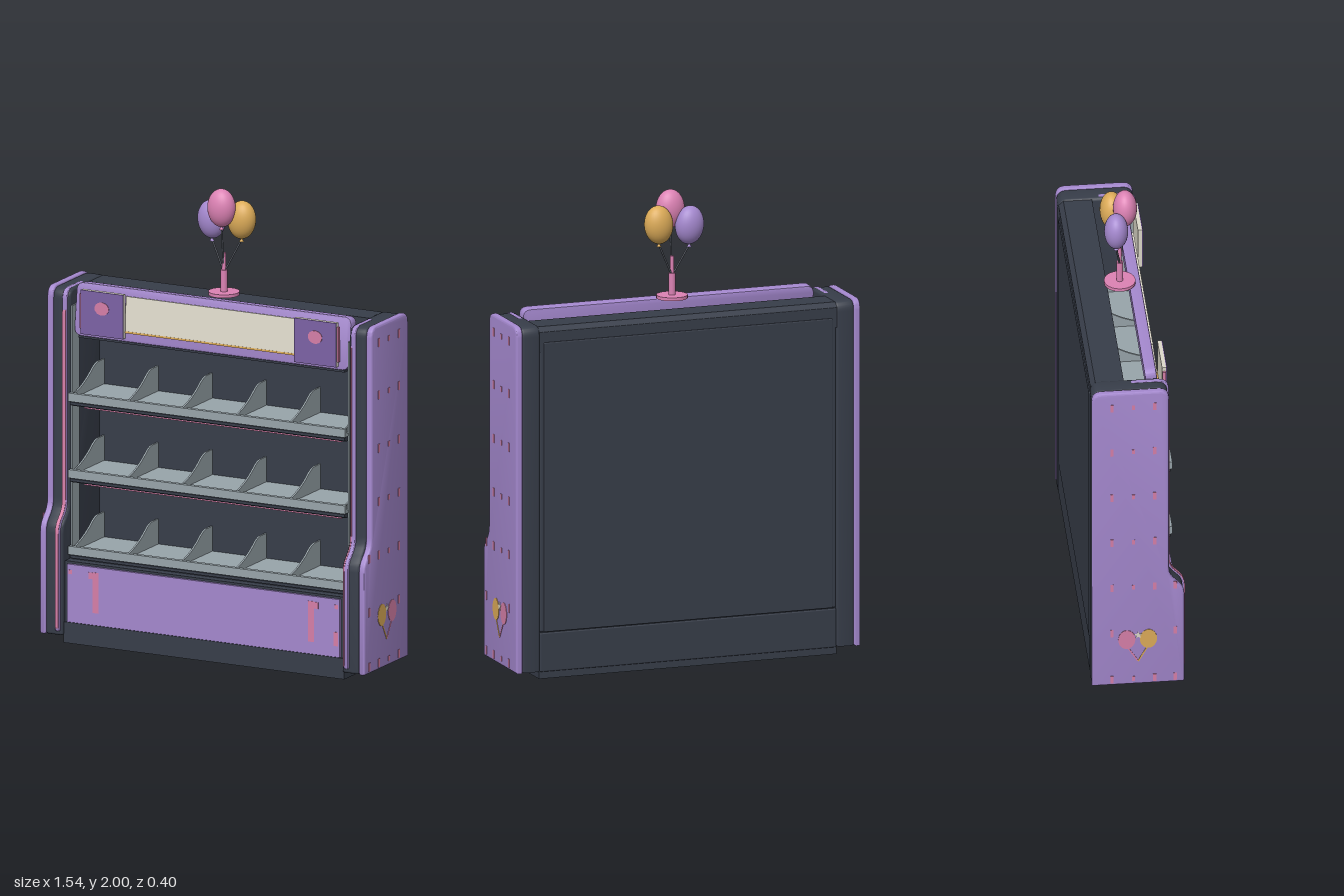
import * as THREE from 'three';
import { RoundedBoxGeometry } from 'three/addons/geometries/RoundedBoxGeometry.js';
import { toCreasedNormals } from 'three/addons/utils/BufferGeometryUtils.js';

const mat = (name, color, side = THREE.FrontSide) => {
  const m = new THREE.MeshStandardMaterial({ color, side });
  m.name = name;
  return m;
};

export function createModel() {
  const purple = mat('lavender', 0xa488ce), plum = mat('plum', 0x7c62a6), dark = mat('charcoal', 0x373d49);
  const grey = mat('shelf grey', 0x98a4aa), cream = mat('cream', 0xded9ca), gold = mat('gold', 0xdcab58);
  const pink = mat('pink', 0xdc82b4), rose = mat('rose', 0xd67fa8), string = mat('string grey', 0x5c616b);
  const model = new THREE.Group();
  model.name = 'displayStand';

  const add = (name, geometry, material, x = 0, y = 0, z = 0, parent = model) => {
    const m = new THREE.Mesh(geometry, material);
    m.name = name;
    m.position.set(x, y, z);
    parent.add(m);
    return m;
  };
  const box = (name, material, x0, x1, y0, y1, z0, z1, r = 0) => {
    const s = [x1 - x0, y1 - y0, z1 - z0];
    const g = r ? new RoundedBoxGeometry(...s, 3, r) : new THREE.BoxGeometry(...s);
    return add(name, g, material, (x0 + x1) / 2, (y0 + y1) / 2, (z0 + z1) / 2);
  };
  // Extrudes a (z, y) outline along x, centred on x = 0
  const sideways = (shape, width, bevel = 0) => {
    const g = new THREE.ExtrudeGeometry(shape, {
      depth: width - 2 * bevel, bevelEnabled: bevel > 0, bevelSize: bevel,
      bevelThickness: bevel, bevelOffset: -bevel, bevelSegments: 3, curveSegments: 8,
    });
    g.rotateY(-Math.PI / 2).translate(width / 2 - bevel, 0, 0);
    return toCreasedNormals(g, 0.6);
  };
  // Outline of an end panel: deep foot, sweeping into a shallower upper part
  const panelShape = (front = 0, top = 1.515, back = -0.195, bottom = 0.03) => {
    const s = new THREE.Shape();
    const a = 0.195 + front, b = 0.13 + front, r = 0.045;
    s.moveTo(back, bottom);
    s.lineTo(a - 0.01, bottom);
    s.quadraticCurveTo(a, bottom, a, bottom + 0.01);
    s.lineTo(a, 0.47);
    s.bezierCurveTo(a, 0.54, b, 0.53, b, 0.61);
    s.lineTo(b, top - r);
    s.quadraticCurveTo(b, top, b - r, top);
    s.lineTo(back + r, top);
    s.quadraticCurveTo(back, top, back, top - r);
    s.closePath();
    return s;
  };
  const star = new THREE.Shape();
  for (let i = 0; i < 10; i++) {
    const r = i % 2 ? 0.008 : 0.019, a = Math.PI / 2 + (i * Math.PI) / 5;
    star[i ? 'lineTo' : 'moveTo'](r * Math.cos(a), r * Math.sin(a));
  }

  // End panels with trim and painted decoration
  for (const s of [-1, 1]) {
    const side = s > 0 ? 'left' : 'right';
    add(side + 'EndSkin', sideways(panelShape(), 0.03, 0.01), purple, s * 0.755);
    add(side + 'EndCore', sideways(panelShape(-0.002, 1.51, -0.193, 0.032), 0.082, 0.012), dark, s * 0.702);
    add(side + 'TrimStrip', sideways(panelShape(0.007, 1.512, -0.05, 0.05), 0.022, 0.006), purple, s * 0.683);
    add(side + 'TrimLine', sideways(panelShape(0.009, 1.45, 0, 0.06), s < 0 ? 0.016 : 0.006), rose, s * (s < 0 ? 0.684 : 0.675));
    box(side + 'ShelfUpright', grey, s * 0.656 - 0.004, s * 0.656 + 0.004, 0.34, 1.44, 0.06, 0.122);

    // Painted dashes in rows up the outer face
    const X = s * 0.7705;
    [0.06, 0.295, 0.525, 0.755, 0.985, 1.215, 1.44].forEach((y, row) => {
      [0.155, 0.07, -0.02, -0.11].forEach((z, col) => {
        if ((col === 0 && row > 2) || (row === 1 && (col === 1 || col === 2))) return;
        const h = col === 2 ? 0.022 : 0.036;
        add('paintedDash', new THREE.BoxGeometry(0.003, h, 0.014), rose, X, y, z);
      });
    });
    // Painted balloons, strings and star
    for (const [z, m] of [[0.043, gold], [-0.048, rose]]) {
      const b = add('paintedBalloon', new THREE.CylinderGeometry(0.036, 0.036, 0.003, 24), m, X, 0.26, z);
      b.rotation.z = Math.PI / 2;
      b.scale.x = 1.3;
      const line = add('paintedString', new THREE.BoxGeometry(0.003, 0.08, 0.006), m, X, 0.183, z * 0.45);
      line.rotation.x = Math.atan2(z * 0.9, 0.07);
    }
    add('paintedStar', sideways(star, 0.003), cream, X, 0.28, 0);
  }

  // Cabinet body
  box('plinth', dark, -0.665, 0.665, 0, 0.09, -0.185, 0.18);
  box('baseCabinet', dark, -0.66, 0.66, 0.08, 0.352, -0.185, 0.172);
  box('backPanel', dark, -0.662, 0.662, 0.2, 1.49, -0.19, -0.13, 0.008);
  box('backKickPanel', dark, -0.662, 0.662, 0.03, 0.197, -0.192, -0.14, 0.006);
  box('backRaisedPanel', dark, -0.645, 0.645, 0.2, 1.44, -0.195, -0.18, 0.005);
  const hood = new THREE.Shape([[-0.19, 1.4], [-0.13, 1.4], [-0.05, 1.46], [-0.05, 1.505], [-0.17, 1.505], [-0.19, 1.485]]
    .map(p => new THREE.Vector2(...p)));
  add('topHood', sideways(hood, 1.33), dark);

  // Front drawer with painted stripes
  box('frontPanel', purple, -0.645, 0.645, 0.092, 0.342, 0.17, 0.183);
  for (const s of [-1, 1]) {
    box('paintedStripe', rose, s * 0.51 - 0.014, s * 0.51 + 0.014, 0.145, 0.32, 0.182, 0.185);
    box('paintedStripeTop', rose, s * 0.52 - 0.024, s * 0.52 + 0.024, 0.29, 0.318, 0.182, 0.1845);
    box('paintedCornerMark', rose, s * 0.63 - 0.008, s * 0.63 + 0.008, 0.3, 0.318, 0.182, 0.185);
  }
  box('paintedEdge', rose, 0.618, 0.638, 0.14, 0.2, 0.182, 0.185);

  // Shelves, lips and sloping dividers
  const divider = new THREE.Shape();
  divider.moveTo(-0.13, 0);
  divider.lineTo(0.135, 0);
  divider.lineTo(0.135, 0.018);
  divider.quadraticCurveTo(0.05, 0.035, -0.02, 0.085);
  divider.quadraticCurveTo(-0.05, 0.108, -0.08, 0.11);
  divider.lineTo(-0.13, 0.11);
  divider.closePath();
  const dividerGeometry = sideways(divider, 0.008);
  for (const y of [0.375, 0.705, 1.035]) {
    box('shelf', grey, -0.655, 0.655, y, y + 0.014, -0.132, 0.14);
    box('shelfLip', grey, -0.655, 0.655, y, y + 0.036, 0.135, 0.155);
    box('shelfUnderside', dark, -0.65, 0.65, y - 0.022, y, -0.132, 0.135);
    box('shelfLipRail', dark, -0.65, 0.65, y - 0.016, y - 0.004, 0.135, 0.148);
    if (y > 0.4) box('shelfPinkLine', rose, -0.61, 0.61, y - 0.037, y - 0.031, 0.09, 0.1);
    for (let i = 0; i < 6; i++) add('shelfDivider', dividerGeometry, grey, -0.64 + i * 0.256, y + 0.012, 0);
  }

  // Tilted header board
  const header = new THREE.Group();
  header.name = 'header';
  header.position.set(0, 1.422, 0.076);
  header.rotation.x = -0.12;
  model.add(header);
  const w = 0.65, h = 0.113, r = 0.035;
  const board = new THREE.Shape();
  board.moveTo(-w + r, -h);
  board.lineTo(w - r, -h);
  board.quadraticCurveTo(w, -h, w, -h + r);
  board.lineTo(w, h - r);
  board.quadraticCurveTo(w, h, w - r, h);
  board.lineTo(-w + r, h);
  board.quadraticCurveTo(-w, h, -w, h - r);
  board.lineTo(-w, -h + r);
  board.quadraticCurveTo(-w, -h, -w + r, -h);
  const boardGeometry = new THREE.ExtrudeGeometry(board, {
    depth: 0.038, bevelSize: 0.006, bevelThickness: 0.006, bevelOffset: -0.006, bevelSegments: 2,
  });
  add('headerBoard', toCreasedNormals(boardGeometry, 0.6), purple, 0, 0, -0.019, header);
  add('headerSign', new THREE.BoxGeometry(0.82, 0.15, 0.009), cream, 0, 0.004, 0.028, header);
  add('headerGoldLine', new THREE.BoxGeometry(1.2, 0.008, 0.012), gold, 0, -0.072, 0.028, header);
  box('headerBottomEdge', dark, -0.63, 0.63, 1.303, 1.312, 0.075, 0.11);

  // Square plates at both ends of the header
  for (const s of [-1, 1]) {
    const x = s * 0.505;
    box('squarePlate', cream, x - 0.1, x + 0.1, 1.328, 1.518, 0.117, 0.134);
    box('squarePlateFace', plum, x - 0.1, x + 0.1, 1.328, 1.518, 0.134, 0.138);
    box('squarePlateEdge', rose, s * 0.609 - 0.004, s * 0.609 + 0.004, 1.35, 1.5, 0.118, 0.132);
    const spot = add('paintedSpot', new THREE.CylinderGeometry(0.028, 0.028, 0.003, 20), rose, x, 1.447, 0.139);
    spot.rotation.x = Math.PI / 2;
    spot.scale.x = 1.2;
  }

  // Balloon topper
  add('topperBase', new THREE.CylinderGeometry(0.066, 0.066, 0.014, 32), pink, 0, 1.547, 0);
  add('topperStem', new THREE.CylinderGeometry(0.014, 0.014, 0.1, 20), pink, 0, 1.597, 0);
  add('topperTip', new THREE.CylinderGeometry(0.008, 0.008, 0.08, 16), pink, 0, 1.68, 0);
  const balloons = [[-0.07, 1.852, -0.022, purple], [0, 1.918, 0.022, pink], [0.07, 1.864, -0.027, gold]];
  const knot = new THREE.Vector3(0, 1.635, 0);
  for (const [x, y, z, m] of balloons) {
    const b = add('balloon', new THREE.SphereGeometry(1, 32, 20), m, x, y, z);
    b.scale.set(0.062, 0.082, 0.05);
    b.rotation.z = -x * 1.2;
    const neck = new THREE.Vector3(x * 0.98, y - 0.086, z);
    add('balloonNeck', new THREE.ConeGeometry(0.01, 0.016, 12), m, neck.x, neck.y, neck.z);
    add('balloonString', new THREE.TubeGeometry(new THREE.LineCurve3(knot, neck), 1, 0.004, 8), string);
  }
  return model;
}
